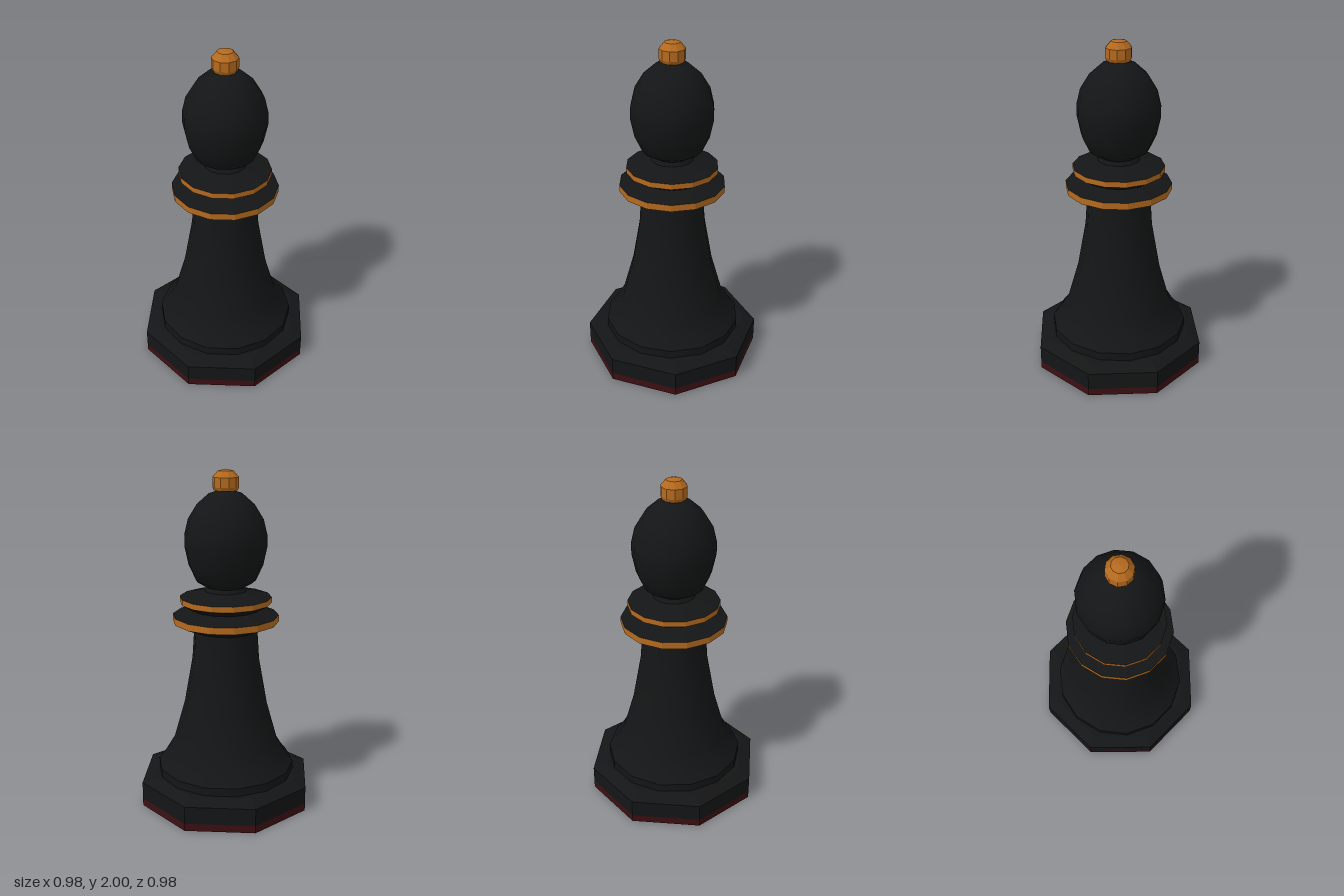
import * as THREE from 'three';

const paint = (color, flat) =>
  new THREE.MeshStandardMaterial({ color, flatShading: flat });

export function createModel() {
  const group = new THREE.Group();
  const black = paint(0x141516, true);
  const blackSmooth = paint(0x141516, false);
  const orange = paint(0xb4691e, true);
  const red = paint(0x3c0f12, true);

  // Turns a profile of [radius, y] pairs, bottom to top, into a named part
  function turn(name, profile, sides, material, start = Math.PI / 2) {
    const points = profile.map(([r, y]) => new THREE.Vector2(r, y));
    const mesh = new THREE.Mesh(new THREE.LatheGeometry(points, sides, start), material);
    mesh.name = name;
    group.add(mesh);
  }

  // Octagonal base with a felt-coloured underside
  const corner = 1 / Math.cos(Math.PI / 8);
  const R = 0.491 * corner;
  turn('baseFelt', [[0, 0], [R, 0], [R, 0.045]], 8, red, Math.PI / 8);
  turn('base', [[R, 0.045], [R, 0.15], [0.42 * corner, 0.18], [0, 0.18]], 8, black, Math.PI / 8);

  // Flared body
  turn('bodyFoot', [[0.415, 0.17], [0.415, 0.23]], 14, blackSmooth);
  turn('body', [[0.415, 0.23], [0.375, 0.28], [0.315, 0.38], [0.25, 0.61],
    [0.2, 0.89], [0.187, 1.08]], 14, blackSmooth);

  // Two collars, each a black bevelled disc with an orange rim
  const collars = [
    { name: 'lowerCollar', r: 0.313, y0: 1.12, y1: 1.16, under: [0.18, 1.065], over: [0.2, 1.195] },
    { name: 'upperCollar', r: 0.27, y0: 1.235, y1: 1.268, under: [0.2, 1.195], over: [0.125, 1.305] },
  ];
  for (const { name, r, y0, y1, under, over } of collars) {
    turn(name + 'Underside', [under, [r, y0]], 14, black);
    turn(name + 'Rim', [[r, y0], [r, y1]], 14, orange);
    turn(name + 'Top', [[r, y1], over], 14, black);
  }
  turn('neck', [[0.125, 1.305], [0.11, 1.335]], 14, black);

  // Egg-shaped head
  turn('head', [[0, 1.31], [0.1, 1.32], [0.175, 1.365], [0.217, 1.455], [0.239, 1.56],
    [0.239, 1.63], [0.217, 1.72], [0.164, 1.805], [0.095, 1.865], [0, 1.895]], 14, blackSmooth);

  // Faceted finial
  turn('finial', [[0, 1.88], [0.066, 1.88], [0.076, 1.9], [0.075, 1.955],
    [0.045, 1.99], [0, 2]], 10, orange);

  return group;
}
